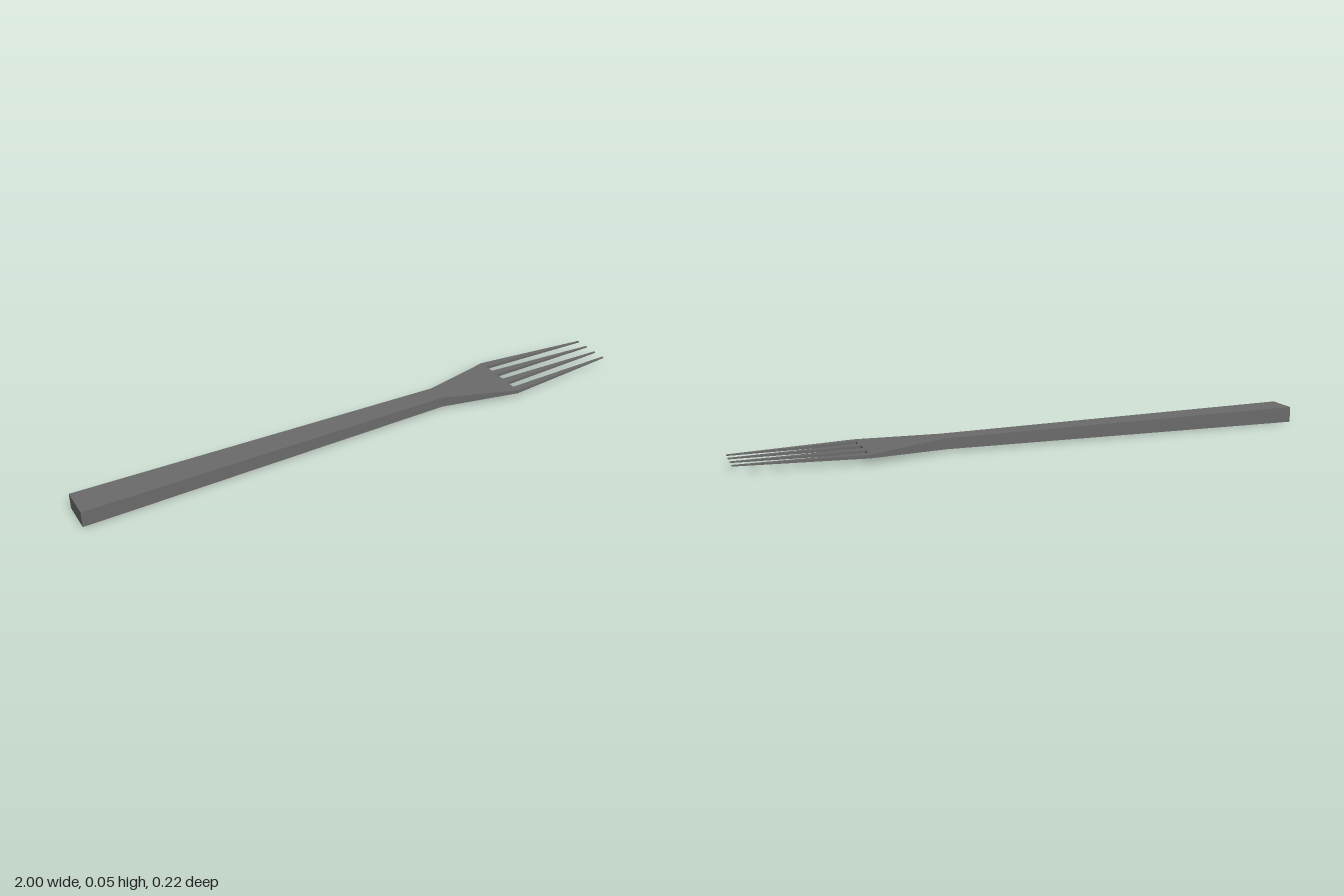
import * as THREE from 'three';

const MID = 0.0275; // height of the centre line

// Tapered bar along x; each section is [x, zMin, zMax, halfHeight]
function loft(sections) {
  const pos = [], idx = [];
  const corners = sections.map(([x, z0, z1, h]) => [
    [x, MID - h, z0], [x, MID - h, z1], [x, MID + h, z1], [x, MID + h, z0],
  ]);
  const quad = (a, b, c, d) => {
    const n = pos.length / 3;
    pos.push(...a, ...b, ...c, ...d);
    idx.push(n, n + 1, n + 2, n, n + 2, n + 3);
  };
  for (let i = 0; i < corners.length - 1; i++) {
    const a = corners[i], b = corners[i + 1];
    for (let k = 0; k < 4; k++) {
      const m = (k + 1) % 4;
      quad(a[k], b[k], b[m], a[m]);
    }
  }
  const first = corners[0], last = corners[corners.length - 1];
  quad(first[0], first[1], first[2], first[3]);
  quad(last[3], last[2], last[1], last[0]);
  const g = new THREE.BufferGeometry();
  g.setAttribute('position', new THREE.Float32BufferAttribute(pos, 3));
  g.setIndex(idx);
  g.computeVertexNormals();
  return g;
}

export function createModel() {
  const group = new THREE.Group();
  group.name = 'fork';
  const metal = new THREE.MeshStandardMaterial({ color: 0x6a6a6a });
  metal.name = 'darkMetal';
  const add = (name, sections) => {
    const mesh = new THREE.Mesh(loft(sections), metal);
    mesh.name = name;
    group.add(mesh);
  };

  // Handle narrows to the neck, then the head flares and thins
  add('handleAndHead', [
    [-1, -0.055, 0.055, 0.0275],
    [0.31, -0.036, 0.036, 0.0185],
    [0.58, -0.112, 0.112, 0.006],
  ]);

  // Four tines, mirrored about the centre: [base inner, base outer, tip centre]
  const tines = { innerTine: [0.018, 0.047, 0.024], outerTine: [0.083, 0.112, 0.07] };
  for (const [name, [a, b, tip]] of Object.entries(tines)) {
    const t = 0.003;
    add(name + 'Left', [[0.58, a, b, 0.006], [1, tip - t, tip + t, 0.002]]);
    add(name + 'Right', [[0.58, -b, -a, 0.006], [1, -tip - t, -tip + t, 0.002]]);
  }
  return group;
}
